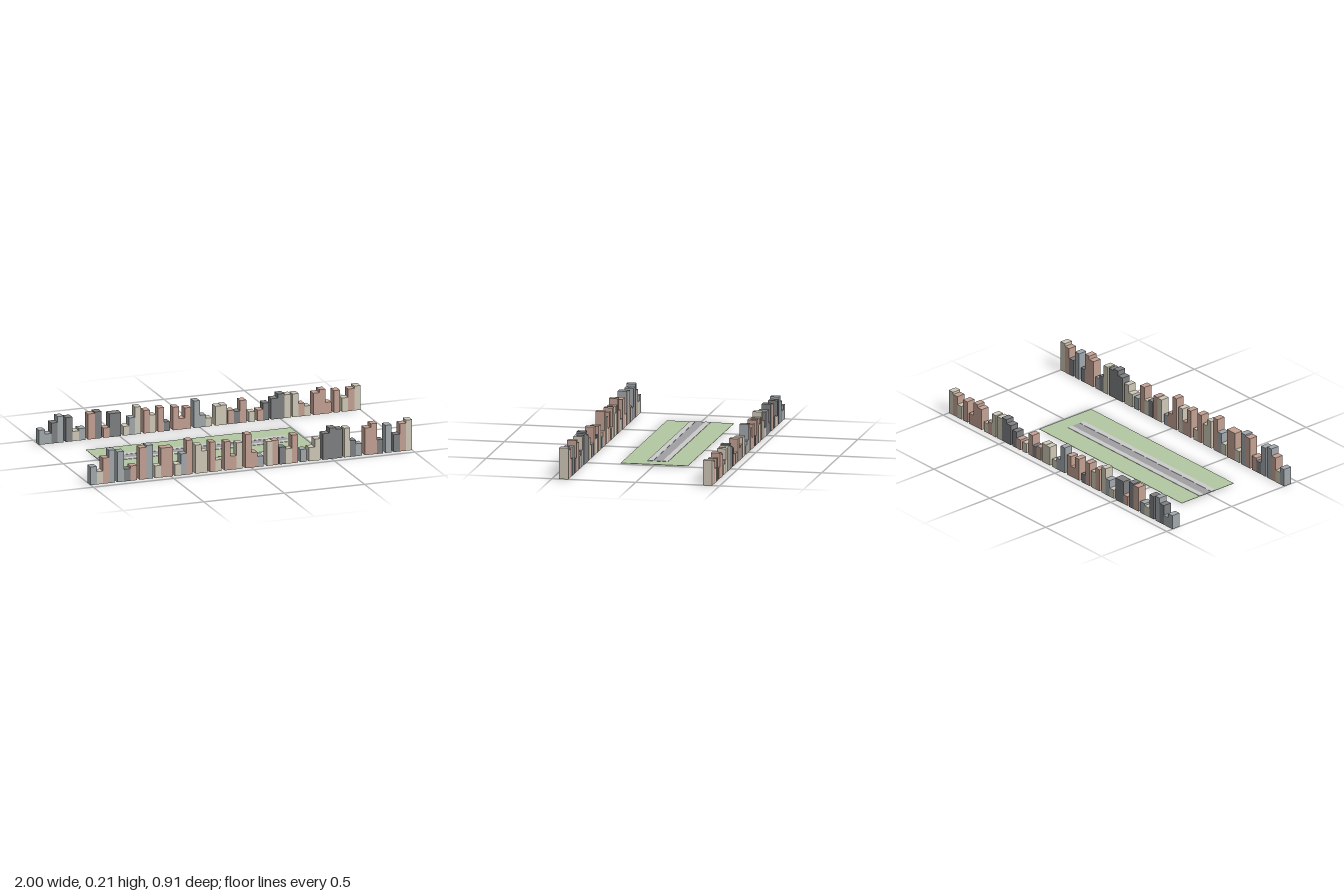
import * as THREE from 'three';

const paint = (color) => new THREE.MeshStandardMaterial({ color, flatShading: true });

// Wall colours: blue-grey, beige, pink, dark grey
const WALLS = { b: paint(0xa3a9ad), e: paint(0xcfc9b8), p: paint(0xc4a294), d: paint(0x7f8082) };

// City blocks: start x, end x, building heights, front-row colours, back-row colours
const BLOCKS = [
  [-1, -0.848, [0.11, 0.077, 0.156, 0.2], 'bepb', 'bbdb'],
  [-0.834, -0.711, [0.185, 0.074, 0.09], 'bdp', 'deb'],
  [-0.695, -0.612, [0.194, 0.204], 'pb', 'pd'],
  [-0.599, -0.489, [0.074, 0.178, 0.178], 'epp', 'pdd'],
  [-0.476, -0.366, [0.07, 0.13, 0.208], 'ebp', 'ebe'],
  [-0.348, -0.273, [0.174, 0.134], 'ee', 'pe'],
  [-0.259, -0.187, [0.182, 0.07], 'pe', 'pd'],
  [-0.166, -0.056, [0.174, 0.083, 0.16], 'ppe', 'ppp'],
  [-0.037, 0.075, [0.205, 0.091, 0.064], 'ppb', 'bbe'],
  [0.096, 0.168, [0.147, 0.15], 'ep', 'ee'],
  [0.176, 0.289, [0.104, 0.091, 0.17], 'dep', 'pdp'],
  [0.305, 0.342, [0.077], 'b', 'e'],
  [0.358, 0.43, [0.083, 0.131], 'ee', 'pd'],
  [0.444, 0.567, [0.158, 0.188, 0.177], 'ddd', 'dde'],
  [0.578, 0.687, [0.177, 0.098, 0.075], 'edb', 'epe'],
  [0.706, 0.818, [0.165, 0.187, 0.085], 'ppd', 'ppp'],
  [0.834, 0.872, [0.168], 'b', 'p'],
  [0.885, 1, [0.105, 0.168, 0.186], 'dpe', 'epe'],
];

function box(name, material, x0, x1, y0, y1, z0, z1) {
  const mesh = new THREE.Mesh(new THREE.BoxGeometry(x1 - x0, y1 - y0, z1 - z0), material);
  mesh.position.set((x0 + x1) / 2, (y0 + y1) / 2, (z0 + z1) / 2);
  mesh.name = name;
  return mesh;
}

// One street-side row of buildings centred on z
function buildingRow(name, z, scale, colourColumn) {
  const row = new THREE.Group();
  row.name = name;
  for (const block of BLOCKS) {
    const [x0, x1, heights] = block;
    const w = (x1 - x0) / heights.length;
    heights.forEach((h, i) => {
      const wall = WALLS[block[colourColumn][i]];
      row.add(box('building', wall, x0 + i * w, x0 + (i + 1) * w, 0, h * scale, z - 0.027, z + 0.027));
    });
  }
  return row;
}

export function createModel() {
  const model = new THREE.Group();
  model.name = 'cityStreet';

  // The back row repeats the skyline at a lower height
  model.add(buildingRow('frontBuildings', 0.429, 1, 3));
  model.add(buildingRow('backBuildings', -0.429, 0.8, 4));

  // Lawn with a road between two pavements
  model.add(box('lawn', paint(0xb4c8a2), -0.785, 0.49, 0.003, 0.005, -0.2, 0.2));
  model.add(box('road', paint(0xa0a0a2), -0.785, 0.395, 0.0025, 0.0058, -0.028, 0.028));
  for (const side of [-1, 1]) {
    const z = side * 0.045;
    model.add(box('pavement', paint(0xcbcbc9), -0.785, 0.395, 0.0025, 0.0072, z - 0.017, z + 0.017));
  }
  return model;
}
